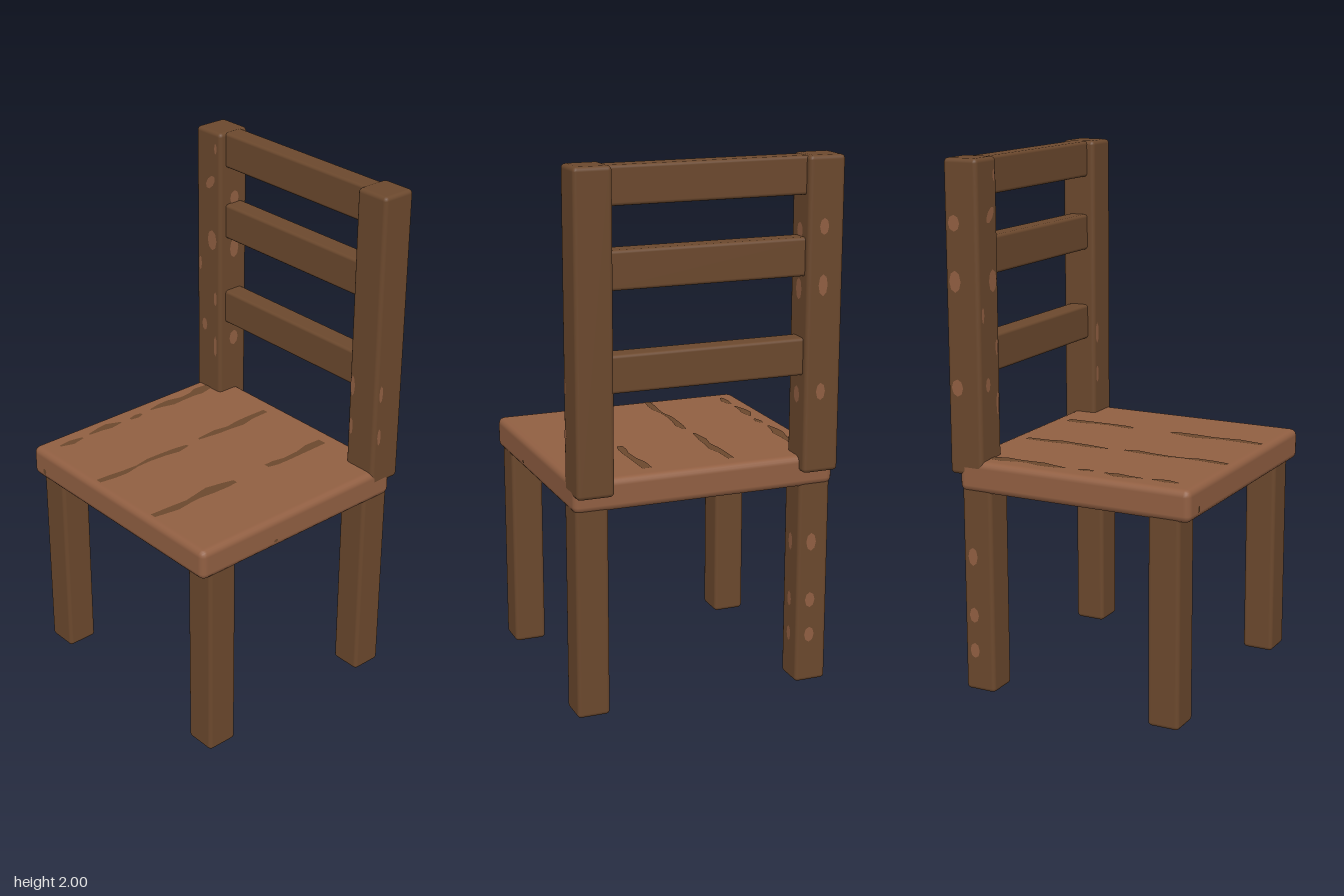
import * as THREE from 'three';
import { RoundedBoxGeometry } from 'three/addons/geometries/RoundedBoxGeometry.js';

const darkWood = new THREE.MeshStandardMaterial({ color: 0x6b482d });
darkWood.name = 'dark wood';
const lightWood = new THREE.MeshStandardMaterial({ color: 0x915f42 });
lightWood.name = 'light wood';

// Softly bevelled block between two corners
function block(name, material, [x0, x1], [y0, y1], [z0, z1], bevel) {
  const mesh = new THREE.Mesh(new RoundedBoxGeometry(x1 - x0, y1 - y0, z1 - z0, 2, bevel), material);
  mesh.position.set((x0 + x1) / 2, (y0 + y1) / 2, (z0 + z1) / 2);
  mesh.name = name;
  return mesh;
}

// Long wavy grain mark on the seat; rows are [z, half width]
function grainMark(x, rows, y, up) {
  const s = up ? -1 : 1;
  const wave = (z) => x + 0.006 * Math.sin(z * 23);
  const side = (k) => rows.map(([z, w]) => new THREE.Vector2(wave(z) + k * w, s * z));
  const geometry = new THREE.ShapeGeometry(new THREE.Shape([...side(-1), ...side(1).reverse()]));
  geometry.rotateX((s * Math.PI) / 2);
  const mesh = new THREE.Mesh(geometry, darkWood);
  mesh.position.y = y;
  mesh.name = 'grainMark';
  return mesh;
}

// Flat oval worn spot, turned to face along one axis
const turns = { front: 0, back: Math.PI, left: Math.PI / 2, right: -Math.PI / 2 };
function spot(facing, x, y, z, rx, ry, tilt = 0, material = lightWood) {
  const geometry = new THREE.CircleGeometry(1, 8);
  geometry.scale(rx, ry, 1).rotateZ(tilt).rotateY(turns[facing]);
  const mesh = new THREE.Mesh(geometry, material);
  mesh.position.set(x, y, z);
  mesh.name = 'wornSpot';
  return mesh;
}

export function createModel() {
  const chair = new THREE.Group();
  chair.name = 'chair';

  // Seat
  chair.add(block('seat', lightWood, [-0.505, 0.505], [0.78, 0.9], [-0.45, 0.487], 0.026));

  // Legs and back posts
  for (const s of [-1, 1]) {
    const span = (a, b) => (s > 0 ? [a, b] : [-b, -a]);
    const side = s > 0 ? 'left' : 'right';
    chair.add(block(side + 'FrontLeg', darkWood, span(0.373, 0.497), [0, 0.82], [0.322, 0.446], 0.015));
    chair.add(block(side + 'BackLeg', darkWood, span(0.373, 0.497), [0, 0.82], [-0.443, -0.319], 0.015));
    chair.add(block(side + 'BackPost', darkWood, span(0.365, 0.505), [0.843, 2], [-0.487, -0.348], 0.016));
  }

  // Back slats
  for (const [y0, y1] of [[1.86, 1.998], [1.57, 1.71], [1.208, 1.346]]) {
    chair.add(block('backSlat', darkWood, [-0.38, 0.38], [y0, y1], [-0.461, -0.378], 0.012));
  }

  // Grain marks, on both faces of the seat
  const grain = [
    [-0.428, [[-0.37, 0.012], [-0.34, 0.018], [-0.29, 0.026], [-0.25, 0.015], [-0.2, 0.013], [-0.14, 0.022], [-0.09, 0.014], [-0.04, 0.004]]],
    [-0.43, [[0.01, 0.006], [0.035, 0.013], [0.07, 0.006]]],
    [-0.43, [[0.115, 0.004], [0.17, 0.02], [0.21, 0.014], [0.27, 0.004]]],
    [-0.43, [[0.305, 0.005], [0.36, 0.016], [0.41, 0.005]]],
    [-0.12, [[-0.38, 0.012], [-0.3, 0.014], [-0.24, 0.02], [-0.18, 0.012], [-0.12, 0.016], [-0.03, 0.005]]],
    [-0.118, [[0.035, 0.006], [0.09, 0.016], [0.15, 0.012], [0.22, 0.01], [0.28, 0.005], [0.34, 0.013], [0.4, 0.015], [0.46, 0.012]]],
    [0.207, [[-0.38, 0.018], [-0.31, 0.02], [-0.25, 0.013], [-0.18, 0.012], [-0.13, 0.016], [-0.09, 0.011]]],
    [0.203, [[0.075, 0.01], [0.12, 0.018], [0.19, 0.024], [0.25, 0.015], [0.3, 0.012], [0.36, 0.018], [0.46, 0.012]]],
  ];
  for (const [x, rows] of grain) {
    chair.add(grainMark(x, rows, 0.902, true), grainMark(x, rows, 0.778, false));
  }
  chair.add(spot('front', -0.43, 0.818, 0.489, 0.01, 0.012, 0, darkWood));
  chair.add(spot('left', 0.507, 0.812, 0.14, 0.01, 0.006, 0, darkWood));

  // Worn spots on the front of the posts
  const front = [
    [-0.42, 1.795, 0.018, 0.035, -0.7], [-0.41, 1.557, 0.026, 0.042], [-0.455, 1.18, 0.015, 0.027],
    [-0.391, 1.1, 0.009, 0.045], [-0.391, 1.31, 0.009, 0.03], [-0.391, 1.935, 0.007, 0.022],
    [-0.48, 1.44, 0.008, 0.03], [0.386, 1.23, 0.012, 0.042], [0.386, 1.06, 0.01, 0.035],
  ];
  for (const [x, y, rx, ry, tilt] of front) chair.add(spot('front', x, y, -0.346, rx, ry, tilt));

  // Worn spots on the left post's outer side
  for (const y of [1.23, 1.05]) chair.add(spot('left', 0.507, y, -0.373, 0.009, 0.035));

  // Worn spots around the right post and right back leg
  for (const [y, r] of [[1.77, 0.03], [1.56, 0.04], [1.17, 0.032]]) {
    chair.add(spot('right', -0.507, y, -0.445, 0.024, r));
    chair.add(spot('left', -0.363, y - 0.04, -0.42, 0.022, r));
    chair.add(spot('back', -0.425, y - 0.02, -0.489, 0.018, r));
  }
  for (const [y, r] of [[0.53, 0.035], [0.3, 0.03], [0.16, 0.03]]) {
    chair.add(spot('right', -0.499, y, -0.4, 0.02, r));
    chair.add(spot('back', -0.425, y + 0.03, -0.445, 0.02, r));
    chair.add(spot('left', -0.371, y + 0.02, -0.38, 0.015, r));
  }
  return chair;
}
